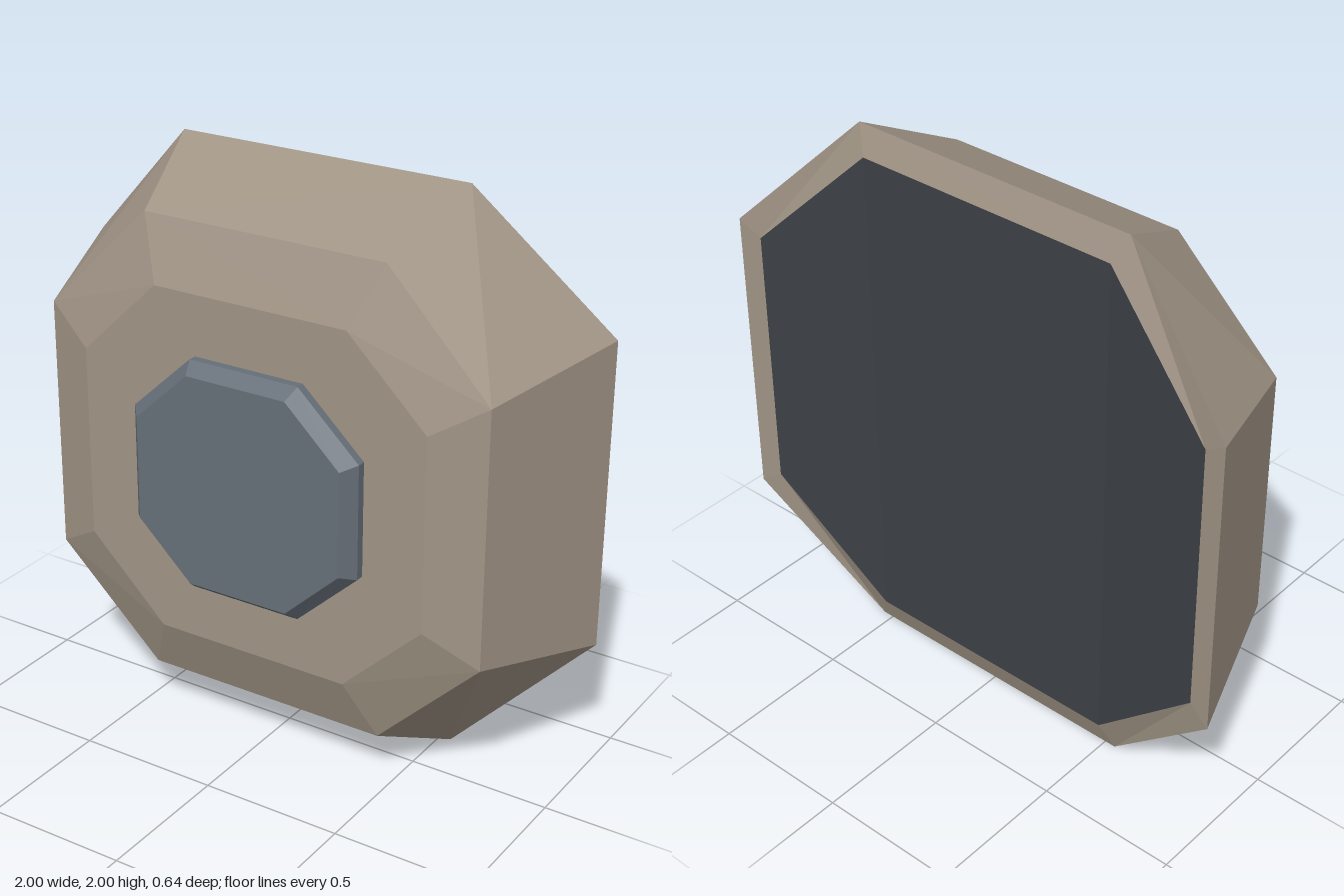
import * as THREE from 'three';

const tan = new THREE.MeshStandardMaterial({ name: 'tan shell', color: 0xa09485 });
const steel = new THREE.MeshStandardMaterial({ name: 'steel blue', color: 0x666f79 });
const dark = new THREE.MeshStandardMaterial({ name: 'dark lining', color: 0x3d4247 });

// Octagon ring, anticlockwise from the front: side = [x, y, z] and top = [x, y, z], mirrored in x and y
function ring(side, top) {
  const at = ([x, y, z], sx, sy) => [x * sx, y * sy, z];
  return [
    at(side, 1, 1), at(top, 1, 1), at(top, -1, 1), at(side, -1, 1),
    at(side, -1, -1), at(top, -1, -1), at(top, 1, -1), at(side, 1, -1),
  ];
}

const isSide = (i) => [0, 3, 4, 7].includes(i);

// Band of faces from ring a to ring b; corner quads split from a's top points or a's side points
function band(a, b, splitAtTop) {
  const tris = [];
  for (let i = 0; i < 8; i++) {
    const j = (i + 1) % 8;
    if (isSide(i) !== splitAtTop) tris.push(a[i], a[j], b[j], a[i], b[j], b[i]);
    else tris.push(a[i], a[j], b[i], a[j], b[j], b[i]);
  }
  return tris;
}

// Flat front cap
function cap(r) {
  const tris = [];
  for (let i = 1; i < 7; i++) tris.push(r[0], r[i], r[i + 1]);
  return tris;
}

function flatMesh(name, tris, material) {
  const geometry = new THREE.BufferGeometry();
  geometry.setAttribute('position', new THREE.Float32BufferAttribute(tris.flat(), 3));
  geometry.computeVertexNormals();
  const mesh = new THREE.Mesh(geometry, material);
  mesh.name = name;
  return mesh;
}

export function createModel() {
  const group = new THREE.Group();
  group.name = 'octagonalPlate';
  const body = new THREE.Group();
  body.name = 'plateBody';
  body.position.y = 1;
  group.add(body);

  // Shell: back rim, flared wall, front bevel and flat face
  const inner = ring([0.92, 0.488, -0.305], [0.496, 0.903, -0.225]);
  const outer = ring([1, 0.54, -0.32], [0.54, 1, -0.19]);
  const mid = ring([0.83, 0.45, 0.178], [0.45, 0.83, 0.16]);
  const face = ring([0.65, 0.34, 0.24], [0.36, 0.62, 0.24]);
  body.add(flatMesh('backRim', band(inner, outer, false), tan));
  body.add(flatMesh('flaredWall', band(outer, mid, true), tan));
  body.add(flatMesh('frontBevel', band(mid, face, false), tan));
  body.add(flatMesh('frontFace', cap(face), tan));

  // Back lining: flat middle strip with two slanted wings
  const p = inner;
  const quad = (a, b, c, d) => [p[a], p[b], p[c], p[a], p[c], p[d]];
  body.add(flatMesh('backLining', [
    ...quad(1, 6, 5, 2),
    ...quad(0, 7, 6, 1),
    ...quad(2, 5, 4, 3),
  ], dark));

  // Raised hub with a bevelled edge
  const hubBack = ring([0.43, 0.2, 0.235], [0.205, 0.41, 0.235]);
  const hubEdge = ring([0.43, 0.2, 0.27], [0.205, 0.41, 0.27]);
  const hubFront = ring([0.388, 0.183, 0.318], [0.187, 0.373, 0.318]);
  body.add(flatMesh('hub', [
    ...band(hubBack, hubEdge, true),
    ...band(hubEdge, hubFront, true),
    ...cap(hubFront),
  ], steel));

  return group;
}
